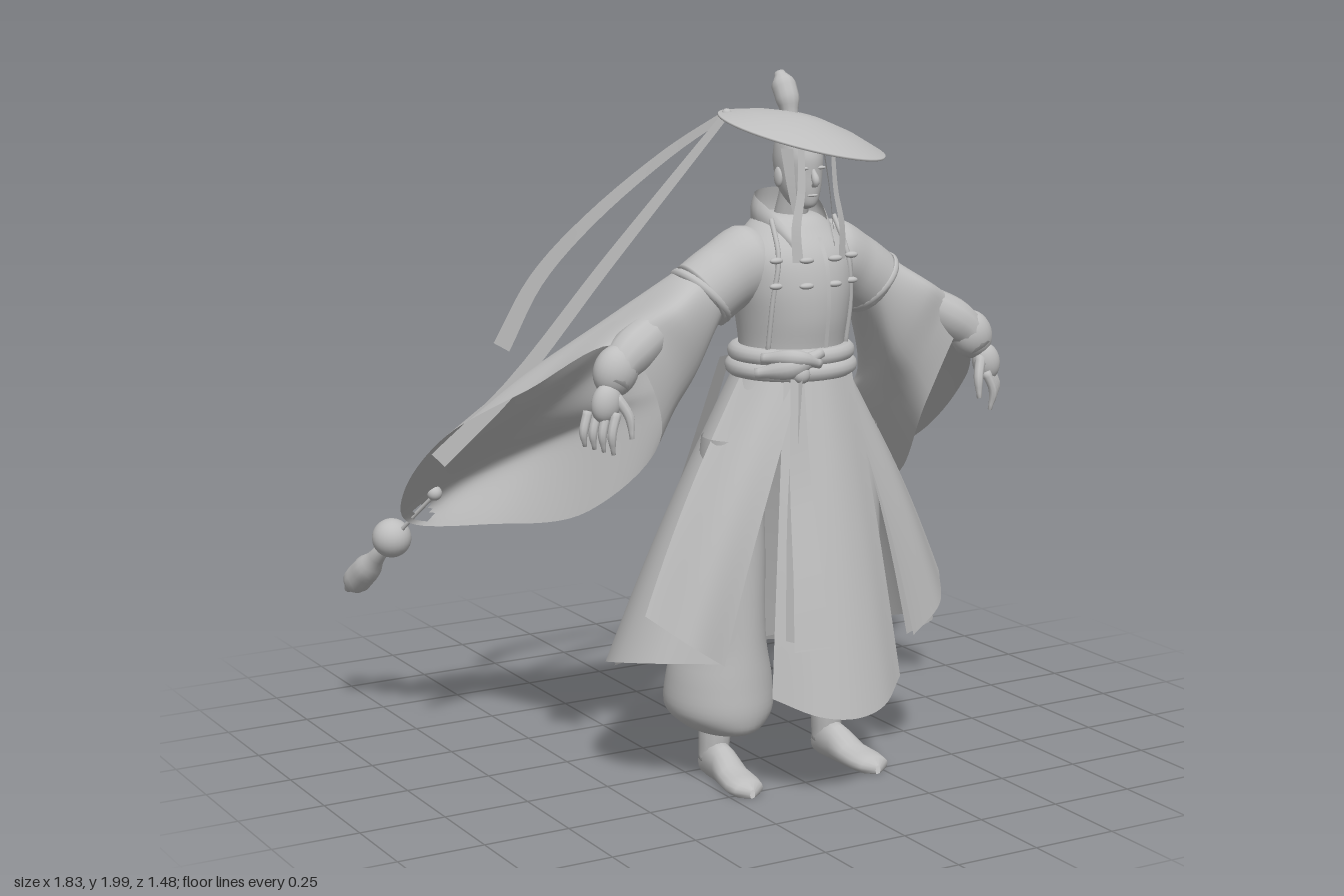
import * as THREE from 'three';

const CX = 0.01; // mirror plane of the figure
const V = (p) => new THREE.Vector3(...p);
const clay = new THREE.MeshStandardMaterial({ color: 0xbebebe, side: THREE.DoubleSide });
clay.name = 'light grey';

// Mirror a list of points to side s (+1 left, -1 right)
const flip = (pts, s) => pts.map(([x, y, z]) => [CX + s * (x - CX), y, z]);
const smooth = (pts, n, closed = false) => {
  const c = new THREE.CatmullRomCurve3(pts.map((p) => (p.isVector3 ? p : V(p))), closed, 'centripetal');
  return Array.from({ length: closed ? n : n + 1 }, (_, i) => c.getPoint(i / n));
};

// Skin a grid of point rows; skip(point) leaves out faces
function loft(rows, closed = false, skip = null) {
  const n = rows[0].length, idx = [], pos = [];
  rows.forEach((r) => r.forEach((p) => pos.push(p.x, p.y, p.z)));
  for (let i = 0; i < rows.length - 1; i++) {
    for (let j = 0; j < (closed ? n : n - 1); j++) {
      const k = (j + 1) % n;
      const a = i * n + j, b = i * n + k, c = a + n, d = b + n;
      if (skip && skip(rows[i][j].clone().add(rows[i + 1][k]).multiplyScalar(0.5))) continue;
      idx.push(a, b, c, b, d, c);
    }
  }
  const g = new THREE.BufferGeometry();
  g.setAttribute('position', new THREE.Float32BufferAttribute(pos, 3));
  g.setIndex(idx);
  g.computeVertexNormals();
  return g;
}

// Tapered tube with closed ends
function limb(pts, radii, steps = 16, sides = 12) {
  const curve = new THREE.CatmullRomCurve3(pts.map(V));
  const f = curve.computeFrenetFrames(steps);
  const rows = [];
  const ring = (i, r) => {
    const c = curve.getPointAt(i / steps);
    rows.push(Array.from({ length: sides }, (_, j) => {
      const a = (j / sides) * Math.PI * 2;
      return c.clone().addScaledVector(f.normals[i], Math.cos(a) * r).addScaledVector(f.binormals[i], Math.sin(a) * r);
    }));
  };
  ring(0, 0);
  for (let i = 0; i <= steps; i++) {
    const u = (i / steps) * (radii.length - 1), k = Math.min(Math.floor(u), radii.length - 2);
    ring(i, THREE.MathUtils.lerp(radii[k], radii[k + 1], THREE.MathUtils.smoothstep(u - k, 0, 1)));
  }
  ring(steps, 0);
  return loft(rows, true);
}

// Flat ribbon; dir fixes the width direction, otherwise it stands upright
function ribbon(pts, w0, w1, dir = null) {
  const curve = new THREE.CatmullRomCurve3(pts.map(V)), up = new THREE.Vector3(0, 1, 0);
  return loft(Array.from({ length: 21 }, (_, i) => {
    const p = curve.getPoint(i / 20), t = curve.getTangent(i / 20);
    const w = dir ? V(dir).normalize() : t.clone().cross(t.clone().cross(up)).normalize();
    const h = THREE.MathUtils.lerp(w0, w1, i / 20) / 2;
    return [p.clone().addScaledVector(w, -h), p.clone().addScaledVector(w, h)];
  }));
}

// Cloth ruled between a top line and a hem line, with outward belly
function panel(top, hem, belly = 0, n = 24) {
  const a = smooth(top, n), b = smooth(hem, n), mid = new THREE.Vector3(CX, 0, 0.36);
  return loft(Array.from({ length: 13 }, (_, i) => a.map((p, j) => {
    const t = i / 12, q = p.clone().lerp(b[j], t);
    const out = q.clone().sub(mid).setY(0).normalize();
    return q.addScaledVector(out, belly * Math.sin(Math.PI * t));
  })));
}

// Stack of ellipses [y, rx, zBack, zFront]
const stack = (secs, cx = CX, n = 40) => loft(smooth(secs.map(([y, rx, zb]) => [y, rx, zb]), 32).map((p, i) => {
  const zf = smooth(secs.map(([y, , , f]) => [y, f, 0]), 32)[i].y;
  return Array.from({ length: n }, (_, j) => {
    const a = (j / n) * Math.PI * 2;
    return new THREE.Vector3(cx + p.y * Math.sin(a), p.x, (p.z + zf) / 2 + ((zf - p.z) / 2) * Math.cos(a));
  });
}), true);

export function createModel() {
  const model = new THREE.Group();
  const add = (name, geo, pos, scale, rot) => {
    const m = new THREE.Mesh(geo, clay);
    m.name = name;
    if (pos) m.position.set(...pos);
    if (scale) m.scale.set(...scale);
    if (rot) m.rotation.set(...rot);
    model.add(m);
    return m;
  };
  const ball = new THREE.SphereGeometry(1, 24, 16);
  const both = (fn) => [1, -1].forEach((s) => fn(s));

  // Hat and topknot
  const brim = [[0.001, 0.05], [0.06, 0.047], [0.15, 0.028], [0.235, 0], [0.235, -0.006], [0.12, 0.015], [0.001, 0.03]];
  add('hat', new THREE.LatheGeometry(brim.map((p) => new THREE.Vector2(...p)), 48), [0.015, 1.825, 0.435])
    .quaternion.setFromUnitVectors(new THREE.Vector3(0, 1, 0), V([0.19, 1, 0.18]).normalize());
  add('topknot', limb([[0.01, 1.84, 0.385], [0.01, 1.91, 0.37], [0.01, 1.955, 0.345], [0.01, 1.985, 0.325]], [0.02, 0.024, 0.033, 0.034, 0.014]));
  add('hatKnot', ball, [-0.16, 1.88, 0.33], [0.014, 0.014, 0.014]);
  add('longHatRibbon', ribbon([[-0.16, 1.88, 0.33], [-0.3, 1.7, 0.28], [-0.48, 1.47, 0.22], [-0.72, 1.14, 0.12], [-0.9, 0.94, 0.03]], 0.02, 0.05));
  add('shortHatRibbon', ribbon([[-0.16, 1.88, 0.33], [-0.28, 1.77, 0.22], [-0.46, 1.58, 0.09], [-0.58, 1.41, 0], [-0.66, 1.22, -0.06]], 0.02, 0.05));

  // Head
  add('head', stack([[1.625, 0.012, 0.44, 0.475], [1.635, 0.032, 0.4, 0.495], [1.67, 0.05, 0.365, 0.503], [1.72, 0.06, 0.345, 0.505],
    [1.77, 0.062, 0.34, 0.505], [1.82, 0.05, 0.355, 0.48], [1.845, 0.01, 0.41, 0.43]]));
  add('neck', limb([[CX, 1.54, 0.37], [CX, 1.69, 0.415]], [0.05, 0.042]));
  add('nose', limb([[CX, 1.735, 0.5], [CX, 1.698, 0.516], [CX, 1.69, 0.5]], [0.006, 0.011, 0.006]));
  add('mouth', ball, [CX, 1.664, 0.5], [0.017, 0.004, 0.006]);
  both((s) => {
    add('brow', ball, [CX + s * 0.025, 1.738, 0.497], [0.018, 0.005, 0.008]);
    add('ear', ball, [CX + s * 0.06, 1.71, 0.42], [0.01, 0.028, 0.018]);
    add('frontHairLock', ribbon(flip([[0.06, 1.8, 0.52], [0.065, 1.68, 0.53], [0.083, 1.58, 0.535], [0.08, 1.49, 0.54]], s), 0.018, 0.03, [s, 0, -0.4]));
    add('sideHairLock', ribbon(flip([[0.068, 1.79, 0.46], [0.07, 1.68, 0.49], [0.065, 1.57, 0.52]], s), 0.04, 0.012, [s * 0.5, 0, -1]));
  });

  // Jacket with tall collar
  add('jacket', stack([[1.16, 0.15, 0.255, 0.53], [1.24, 0.147, 0.25, 0.535], [1.33, 0.158, 0.238, 0.55], [1.42, 0.175, 0.235, 0.55],
    [1.5, 0.178, 0.245, 0.53], [1.56, 0.135, 0.265, 0.49], [1.6, 0.085, 0.29, 0.45], [1.61, 0.01, 0.37, 0.38]]));
  const collarHalf = (pts) => [...pts, ...flip(pts.slice(0, -1), -1).reverse()];
  add('collar', panel(collarHalf([[0.075, 1.52, 0.51], [0.1, 1.56, 0.44], [0.11, 1.58, 0.36], [0.07, 1.57, 0.285], [CX, 1.56, 0.27]]),
    collarHalf([[0.065, 1.55, 0.505], [0.095, 1.62, 0.42], [0.1, 1.65, 0.35], [0.065, 1.66, 0.295], [CX, 1.665, 0.28]]), 0.006));
  add('placket', ribbon([[0.03, 1.55, 0.505], [0.03, 1.48, 0.543], [0.03, 1.38, 0.556], [0.03, 1.25, 0.542]], 0.012, 0.012, [1, 0, 0]));
  both((s) => {
    add('jacketCord', limb(flip([[0.11, 1.6, 0.45], [0.12, 1.5, 0.505], [0.135, 1.38, 0.5], [0.135, 1.24, 0.475]], s), [0.007, 0.007]));
    add('shortSleeve', limb(flip([[0.06, 1.5, 0.375], [0.14, 1.475, 0.375], [0.22, 1.435, 0.37], [0.285, 1.39, 0.365]], s), [0.06, 0.108, 0.1, 0.1], 16, 28));
    const cuff = add('shortSleeveCuff', new THREE.TorusGeometry(0.09, 0.014, 10, 32), [CX + s * 0.272, 1.393, 0.365]);
    cuff.quaternion.setFromUnitVectors(new THREE.Vector3(0, 0, 1), V([s * 0.72, -0.69, 0]).normalize());
    [1.495, 1.425].forEach((y) => {
      add('toggle', ball, [CX + s * 0.045, y, 0.545], [0.022, 0.009, 0.012]);
      add('toggle', ball, [CX + s * 0.12, y, 0.51], [0.02, 0.009, 0.012]);
    });
  });

  // Hanging sleeves: rings from the cuff to the wide mouth
  const sleeveRings = [
    [[0.32, 1.44, 0.44], [0.35, 1.46, 0.36], [0.34, 1.45, 0.31], [0.31, 1.41, 0.28], [0.27, 1.37, 0.28], [0.24, 1.34, 0.32], [0.23, 1.33, 0.38], [0.26, 1.37, 0.45]],
    [[0.42, 1.38, 0.47], [0.46, 1.37, 0.3], [0.52, 1.28, 0.16], [0.53, 1.16, 0.07], [0.48, 1.11, 0.04], [0.42, 1.08, 0.1], [0.36, 1.12, 0.24], [0.33, 1.2, 0.43]],
    [[0.5, 1.33, 0.45], [0.63, 1.25, 0.25], [0.75, 1.11, 0.05], [0.77, 0.89, -0.2], [0.68, 0.8, -0.33], [0.52, 0.87, -0.2], [0.425, 0.97, 0.08], [0.39, 1.12, 0.43]],
    [[0.57, 1.29, 0.44], [0.74, 1.15, 0.22], [0.88, 1, 0], [0.905, 0.8, -0.24], [0.81, 0.655, -0.42], [0.65, 0.675, -0.22], [0.53, 0.78, 0.17], [0.44, 1.04, 0.43]],
  ];
  both((s) => {
    const loops = sleeveRings.map((r) => smooth(flip(r, s), 72, true));
    const cols = loops[0].map((_, j) => smooth(loops.map((l) => l[j]), 36));
    const rows = cols[0].map((_, i) => cols.map((c) => c[i]));
    const hole = V(flip([[0.785, 0.69, -0.395]], s)[0]);
    add('hangingSleeve', loft(rows, true, (p) => p.distanceTo(hole) < 0.03));

    // Cord and tassel at the sleeve tip
    add('sleeveKnot', ball, flip([[0.765, 0.755, -0.345]], s)[0], [0.022, 0.022, 0.022]);
    add('tasselCord', limb(flip([[0.765, 0.75, -0.345], [0.8, 0.68, -0.41], [0.83, 0.62, -0.46]], s), [0.006, 0.006]));
    add('tasselBall', ball, flip([[0.84, 0.6, -0.49]], s)[0], [0.058, 0.058, 0.058]);
    add('tassel', limb(flip([[0.843, 0.575, -0.52], [0.86, 0.5, -0.6], [0.875, 0.43, -0.685], [0.882, 0.395, -0.735]], s), [0.014, 0.025, 0.042, 0.043, 0.012]));

    // Arm and hand
    add('forearm', limb(flip([[0.3, 1.39, 0.37], [0.46, 1.31, 0.41], [0.57, 1.24, 0.44], [0.6, 1.19, 0.45]], s), [0.06, 0.055, 0.062, 0.045]));
    add('wristCuff', ball, flip([[0.585, 1.225, 0.44]], s)[0], [0.062, 0.072, 0.055], [0, 0, s * 0.4]);
    add('palm', ball, flip([[0.625, 1.145, 0.46]], s)[0], [0.042, 0.055, 0.034], [0, 0, s * 0.25]);
    add('thumb', limb(flip([[0.6, 1.16, 0.47], [0.575, 1.11, 0.495], [0.572, 1.05, 0.505]], s), [0.016, 0.014, 0.007], 8, 8));
    for (let i = 0; i < 4; i++) {
      const x = 0.615 + i * 0.018, z = 0.485 - i * 0.02;
      add('finger', limb(flip([[x - 0.008, 1.12, z], [x + 0.012, 1.065, z + 0.01], [x + 0.005, 1.01 + i * 0.006, z + 0.005]], s), [0.014, 0.013, 0.006], 8, 8));
    }
  });

  // Sash, knot and bow
  [[1.225, 0.155], [1.185, 0.162]].forEach(([y, r]) =>
    add('sash', new THREE.TorusGeometry(r, 0.025, 12, 48), [CX, y, 0.392], [1, 0.94, 1], [Math.PI / 2, 0, 0]));
  add('frontKnotRoll', limb([[-0.17, 1.19, 0.5], [-0.09, 1.21, 0.565], [0, 1.245, 0.57]], [0.014, 0.03, 0.014]));
  add('frontKnotRoll', limb([[-0.15, 1.23, 0.5], [-0.08, 1.235, 0.575], [-0.01, 1.215, 0.575]], [0.014, 0.024, 0.014]));
  add('frontKnot', ball, [-0.07, 1.19, 0.575], [0.026, 0.026, 0.022]);
  add('backKnot', ball, [0.1, 1.2, 0.215], [0.045, 0.035, 0.035]);
  add('backRoll', limb([[-0.03, 1.25, 0.22], [0.08, 1.23, 0.2], [0.19, 1.16, 0.25]], [0.015, 0.032, 0.015]));
  [[0.16, 1.29, 0.22, -0.5], [0.09, 1.29, 0.205, 0.3]].forEach(([x, y, z, r]) =>
    add('bowLoop', new THREE.TorusGeometry(0.045, 0.012, 10, 24), [x, y, z], [0.8, 1.4, 1], [0, 0.5, r]));
  add('bowTail', ribbon([[0.12, 1.2, 0.21], [0.17, 1.15, 0.22], [0.2, 1.09, 0.23]], 0.03, 0.055, [1, 0.5, 0]));

  // Hanging cords and ribbons
  add('backCord', limb([[0.09, 1.19, 0.2], [0.1, 0.95, 0.12], [0.115, 0.72, 0], [0.12, 0.56, -0.06]], [0.007, 0.008, 0.022, 0.018]));
  add('backCord', limb([[0.11, 1.19, 0.21], [0.18, 0.95, 0.15], [0.24, 0.72, 0.06], [0.275, 0.57, 0]], [0.007, 0.008, 0.022, 0.018]));
  both((s) => add('backRibbon', ribbon(flip([[0.12, 1.19, 0.22], [0.165, 0.85, 0.1], [0.215, 0.5, -0.03], [0.25, 0.22, -0.15]], s), 0.05, 0.09, [s, 0, 0.4])));
  add('frontRibbon', ribbon([[-0.085, 1.18, 0.58], [-0.1, 0.9, 0.625], [-0.112, 0.65, 0.685], [-0.12, 0.46, 0.725]], 0.04, 0.11, [1, 0, 0.12]));
  add('frontSideRibbon', ribbon([[-0.08, 1.18, 0.585], [-0.12, 0.85, 0.61], [-0.165, 0.48, 0.68]], 0.02, 0.03, [0.35, 0, 1]));

  // Skirt: back shell, side flaps and front panel
  const hemHalf = [[0.31, 0.4, 0.54], [0.47, 0.4, 0.44], [0.515, 0.37, 0.28], [0.42, 0.31, 0.08], [0.22, 0.27, -0.03], [CX, 0.255, -0.06]];
  const hem = collarHalf(hemHalf);
  const waist = hem.map((_, i) => {
    const a = THREE.MathUtils.degToRad(35 + (290 * i) / (hem.length - 1));
    return [CX + 0.155 * Math.sin(a), 1.19, 0.39 + 0.145 * Math.cos(a)];
  });
  add('skirt', panel(waist, hem, 0.015, 60));
  both((s) => add('sideFlap', panel(flip([[0.07, 1.18, 0.54], [0.13, 1.18, 0.49], [0.17, 1.18, 0.4]], s),
    flip([[0.32, 0.4, 0.56], [0.42, 0.47, 0.54], [0.495, 0.535, 0.43]], s), 0.02)));
  add('frontPanel', panel([[-0.09, 1.19, 0.52], [0.02, 1.19, 0.55], [0.125, 1.19, 0.52]],
    [[-0.19, 0.31, 0.63], [-0.09, 0.265, 0.71], [0.015, 0.25, 0.735], [0.12, 0.265, 0.715], [0.215, 0.32, 0.65]], 0.005));

  // Balloon trousers and feet
  both((s) => {
    add('trouserLeg', stack([[0.17, 0.045, 0.24, 0.36], [0.15, 0.075, 0.19, 0.43], [0.165, 0.105, 0.155, 0.475], [0.21, 0.145, 0.14, 0.492],
      [0.3, 0.142, 0.15, 0.493], [0.42, 0.115, 0.175, 0.49], [0.7, 0.1, 0.24, 0.49], [1, 0.08, 0.3, 0.48]], CX + s * 0.19));
    add('ankle', limb(flip([[0.195, 0.22, 0.3], [0.198, 0.12, 0.295], [0.2, 0.04, 0.29]], s), [0.055, 0.046, 0.042]));
    // Foot cross-sections run from heel to toe: [z, x, halfWidth, height]
    const foot = [[0.245, 0.2, 0.005, 0.03], [0.255, 0.2, 0.03, 0.07], [0.3, 0.2, 0.042, 0.11], [0.36, 0.203, 0.043, 0.095],
      [0.42, 0.21, 0.05, 0.06], [0.48, 0.216, 0.055, 0.05], [0.52, 0.218, 0.046, 0.045], [0.54, 0.218, 0.008, 0.025]];
    add('foot', loft(foot.map(([z, x, w, h]) => Array.from({ length: 16 }, (_, j) => {
      const a = (j / 16) * Math.PI * 2;
      return new THREE.Vector3(CX + s * (x - CX) + w * Math.cos(a), Math.max(0, h * (0.42 + 0.58 * Math.sin(a))), z);
    })), true));
  });
  return model;
}
